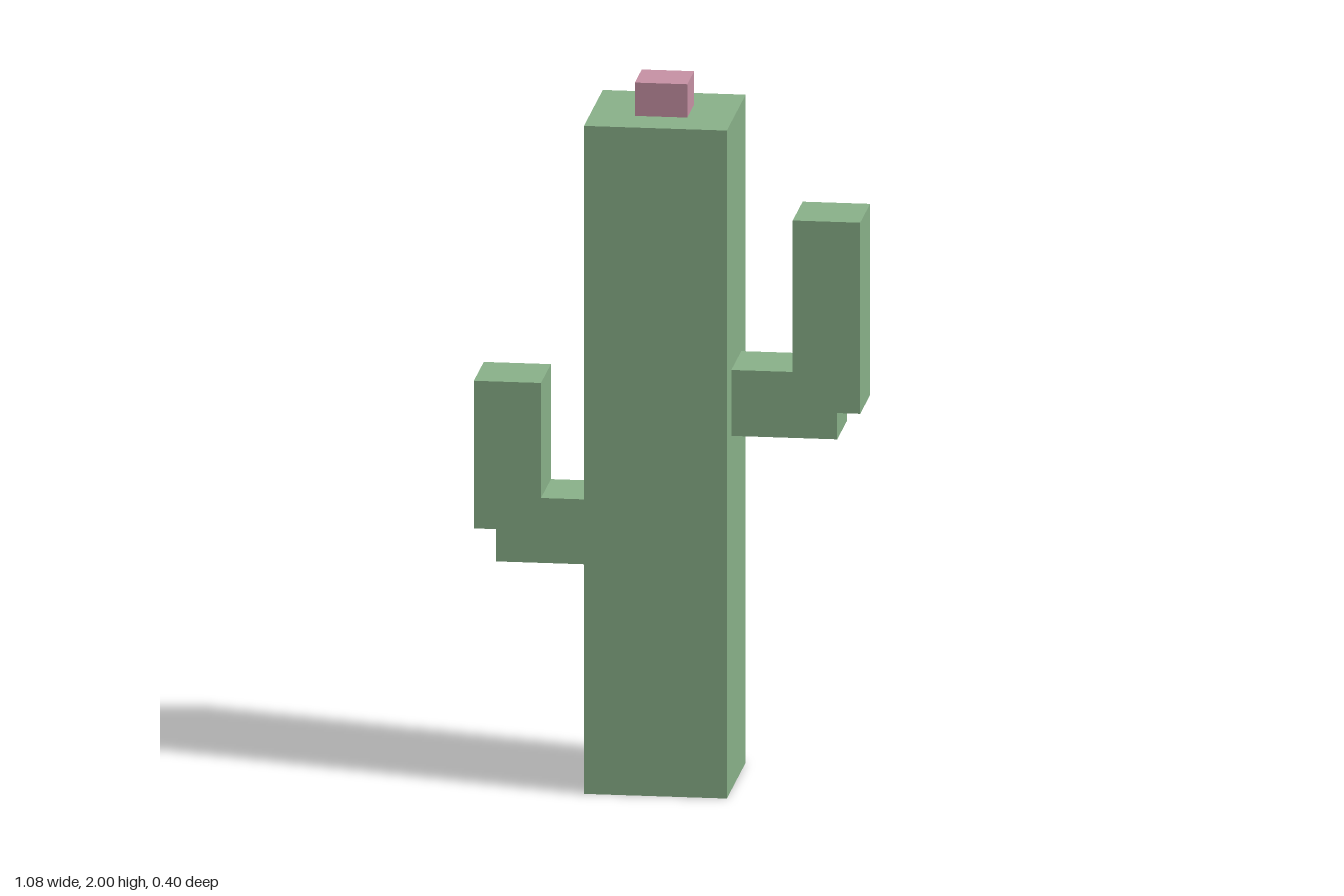
import * as THREE from 'three';

export function createModel() {
  const model = new THREE.Group();
  model.name = 'cactus';

  const green = new THREE.MeshStandardMaterial({ color: 0x8ab28a });
  green.name = 'cactus green';
  const pink = new THREE.MeshStandardMaterial({ color: 0xc892a5 });
  pink.name = 'flower pink';

  const add = (name, geometry, material) => {
    const mesh = new THREE.Mesh(geometry, material);
    mesh.name = name;
    model.add(mesh);
  };

  // Box given by its extents on each axis
  const block = (x0, x1, y0, y1, z0, z1) =>
    new THREE.BoxGeometry(x1 - x0, y1 - y0, z1 - z0)
      .translate((x0 + x1) / 2, (y0 + y1) / 2, (z0 + z1) / 2);

  // Upturned arm: a branch from the trunk and a post that overhangs its end
  const arm = (side, root, branchEnd, postIn, postOut, y0, step, y1, top) => {
    const points = [
      [root, y0], [branchEnd, y0], [branchEnd, step], [postOut, step],
      [postOut, top], [postIn, top], [postIn, y1], [root, y1],
    ].map(([x, y]) => new THREE.Vector2(side * x, y));
    return new THREE.ExtrudeGeometry(new THREE.Shape(points), { depth: 0.21, bevelEnabled: false })
      .translate(0, 0, -0.105);
  };

  add('trunk', block(-0.22, 0.178, 0, 1.905, -0.2, 0.2), green);
  add('flower', block(-0.095, 0.051, 1.905, 2, -0.074, 0.072), pink);
  add('leftArm', arm(1, 0.178, 0.473, 0.349, 0.537, 1.01, 1.085, 1.198, 1.63), green);
  add('rightArm', arm(-1, 0.22, 0.477, 0.352, 0.539, 0.63, 0.722, 0.815, 1.143), green);

  return model;
}
